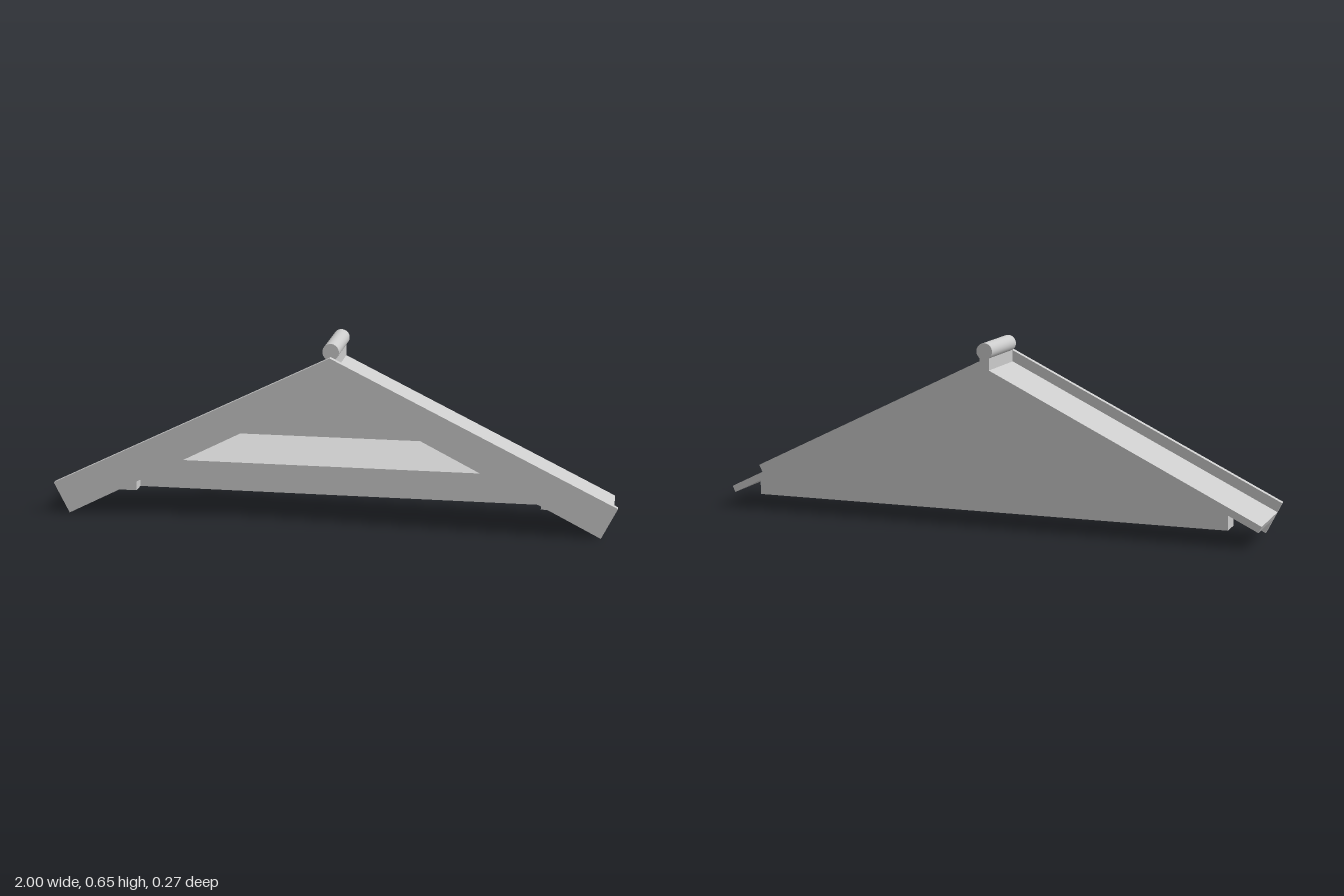
import * as THREE from 'three';

const material = new THREE.MeshStandardMaterial({ color: 0xcccccc, flatShading: true });
const smooth = new THREE.MeshStandardMaterial({ color: 0xcccccc });

const BACK = -0.133, ROOF_FRONT = 0.111, FRONT = 0.133, PANEL_FRONT = -0.05;

// Extrudes an outline mirrored about x = 0 between two depths.
// half: points of the +x side, listed from the top centre around to the bottom centre.
function symmetric(name, half, z0, z1) {
  const left = half.filter(p => p[0] > 0).reverse().map(([x, y]) => [-x, y]);
  return prism(name, [...half, ...left], z0, z1);
}

function prism(name, points, z0, z1) {
  const shape = new THREE.Shape(points.map(([x, y]) => new THREE.Vector2(x, y)));
  const geometry = new THREE.ExtrudeGeometry(shape, { depth: z1 - z0, bevelEnabled: false });
  geometry.translate(0, 0, z0);
  const mesh = new THREE.Mesh(geometry, material);
  mesh.name = name;
  return mesh;
}

export function createModel() {
  const model = new THREE.Group();
  model.name = 'gableRoof';

  // Front bargeboards
  model.add(symmetric('bargeboard',
    [[0, 0.602], [1, 0.11], [0.945, 0], [0, 0.483]], ROOF_FRONT, FRONT));

  // Sloping roof sheets
  model.add(symmetric('roofSheets',
    [[0, 0.562], [0.985, 0.077], [0.974, 0.055], [0, 0.535]], BACK, ROOF_FRONT));

  // Solid gable wall at the back
  model.add(symmetric('backPanel',
    [[0, 0.537], [0.87, 0.108], [0.87, 0.055]], BACK, PANEL_FRONT));

  // Sill beam, its top sloping down towards the front
  const sill = symmetric('sillBeam',
    [[0.54, 0.27], [0.68, 0.2], [0.73, 0.176], [0.73, 0.12]], PANEL_FRONT, 0.083);
  const pos = sill.geometry.attributes.position;
  for (let i = 0; i < pos.count; i++) {
    if (pos.getZ(i) > 0) pos.setY(i, Math.min(pos.getY(i), 0.2));
  }
  sill.geometry.computeVertexNormals();
  model.add(sill);

  // Small blocks under the eaves
  for (const side of [1, -1]) {
    const points = [[0.73, 0.055], [0.797, 0.055], [0.797, 0.144], [0.73, 0.177]];
    model.add(prism(side > 0 ? 'leftBlock' : 'rightBlock',
      points.map(([x, y]) => [side * x, y]), PANEL_FRONT, 0.005));
  }

  // Ridge: a narrow web carrying a round pole
  const length = ROOF_FRONT - BACK, middle = (ROOF_FRONT + BACK) / 2;
  const web = new THREE.Mesh(new THREE.BoxGeometry(0.034, 0.065, length), material);
  web.name = 'ridgeWeb';
  web.position.set(0, 0.575, middle);
  const pole = new THREE.Mesh(new THREE.CylinderGeometry(0.029, 0.029, length, 32), smooth);
  pole.name = 'ridgePole';
  pole.rotation.x = Math.PI / 2;
  pole.position.set(0, 0.619, middle);
  model.add(web, pole);

  return model;
}
